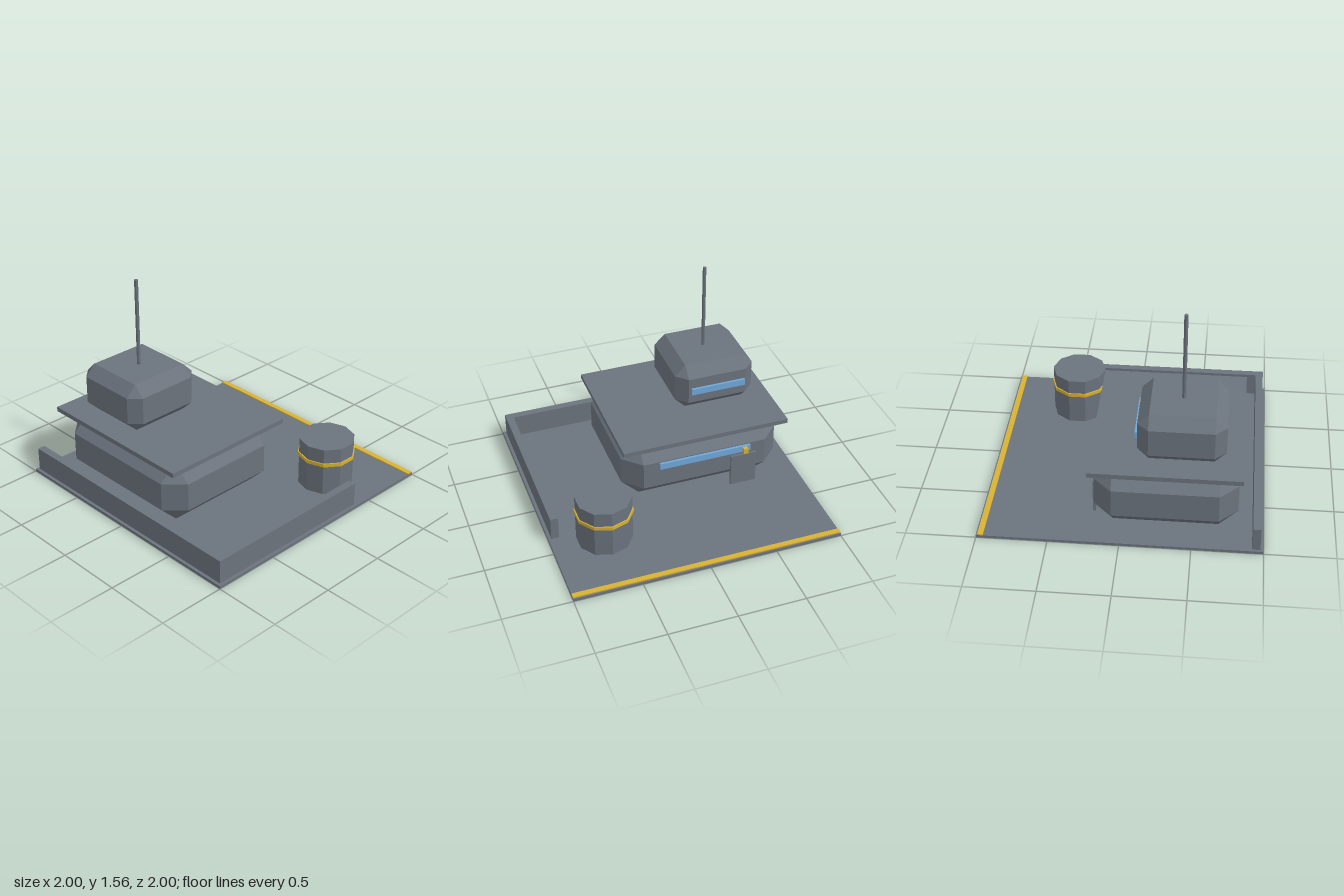
import * as THREE from 'three';
import { ConvexGeometry } from 'three/addons/geometries/ConvexGeometry.js';

export function createModel() {
  const model = new THREE.Group();
  model.name = 'rooftopOutpost';

  const material = (name, color) => {
    const m = new THREE.MeshStandardMaterial({ color, flatShading: true });
    m.name = name;
    return m;
  };
  const grey = material('slateGrey', 0x6b737d);
  const yellow = material('hazardYellow', 0xd8b232);
  const blue = material('windowBlue', 0x6fa8d8);

  const add = (name, geometry, mat, x, y, z) => {
    const mesh = new THREE.Mesh(geometry, mat);
    mesh.name = name;
    mesh.position.set(x, y, z);
    model.add(mesh);
    return mesh;
  };

  // Box given by its [min, max] extent on each axis
  const mid = (r) => (r[0] + r[1]) / 2;
  const box = (name, mat, x, y, z) =>
    add(name, new THREE.BoxGeometry(x[1] - x[0], y[1] - y[0], z[1] - z[0]), mat, mid(x), mid(y), mid(z));

  // Box with every edge and corner bevelled by c
  const bevelledBox = (name, mat, x, y, z, c) => {
    const half = [x, y, z].map((r) => (r[1] - r[0]) / 2);
    const points = [];
    for (const sx of [-1, 1]) for (const sy of [-1, 1]) for (const sz of [-1, 1]) {
      for (let axis = 0; axis < 3; axis++) {
        const p = half.map((h, i) => (i === axis ? h : h - c));
        points.push(new THREE.Vector3(sx * p[0], sy * p[1], sz * p[2]));
      }
    }
    return add(name, new ConvexGeometry(points), mat, mid(x), mid(y), mid(z));
  };

  const cylinder = (name, mat, radius, sides, x, y, z) =>
    add(name, new THREE.CylinderGeometry(radius, radius, y[1] - y[0], sides), mat, x, mid(y), z);

  // Ground slab, edge stripe and low walls
  box('basePlate', grey, [-1, 1], [0, 0.02], [-1, 1]);
  box('edgeStripe', yellow, [-1, 1], [0.02, 0.029], [-0.99, -0.95]);
  box('frontWall', grey, [-0.98, 0.977], [0.02, 0.197], [0.92, 0.977]);
  box('sideWall', grey, [0.92, 0.977], [0.02, 0.197], [-0.36, 0.92]);

  // Lower building with roof slab
  bevelledBox('lowerBuilding', grey, [-0.865, 0.355], [0.02, 0.5], [-0.2, 0.815], 0.133);
  box('roofSlab', grey, [-0.895, 0.38], [0.5, 0.535], [-0.23, 0.84]);
  box('lowerWindow', blue, [-0.61, 0.1], [0.31, 0.36], [-0.219, -0.19]);
  box('door', grey, [-0.66, -0.46], [0.02, 0.28], [-0.216, -0.195]);
  box('doorLamp', yellow, [-0.58, -0.545], [0.31, 0.355], [-0.25, -0.219]);

  // Upper cabin with window and mast
  bevelledBox('upperCabin', grey, [-0.765, -0.155], [0.535, 0.9], [0.1, 0.715], 0.08);
  box('upperWindow', blue, [-0.675, -0.255], [0.69, 0.74], [0.082, 0.11]);
  cylinder('mast', grey, 0.014, 8, -0.46, [0.88, 1.56], 0.405);

  // Storage tank with band
  cylinder('tank', grey, 0.204, 10, 0.61, [0.02, 0.39], -0.46);
  cylinder('tankBand', yellow, 0.213, 10, 0.61, [0.253, 0.28], -0.46);

  return model;
}
